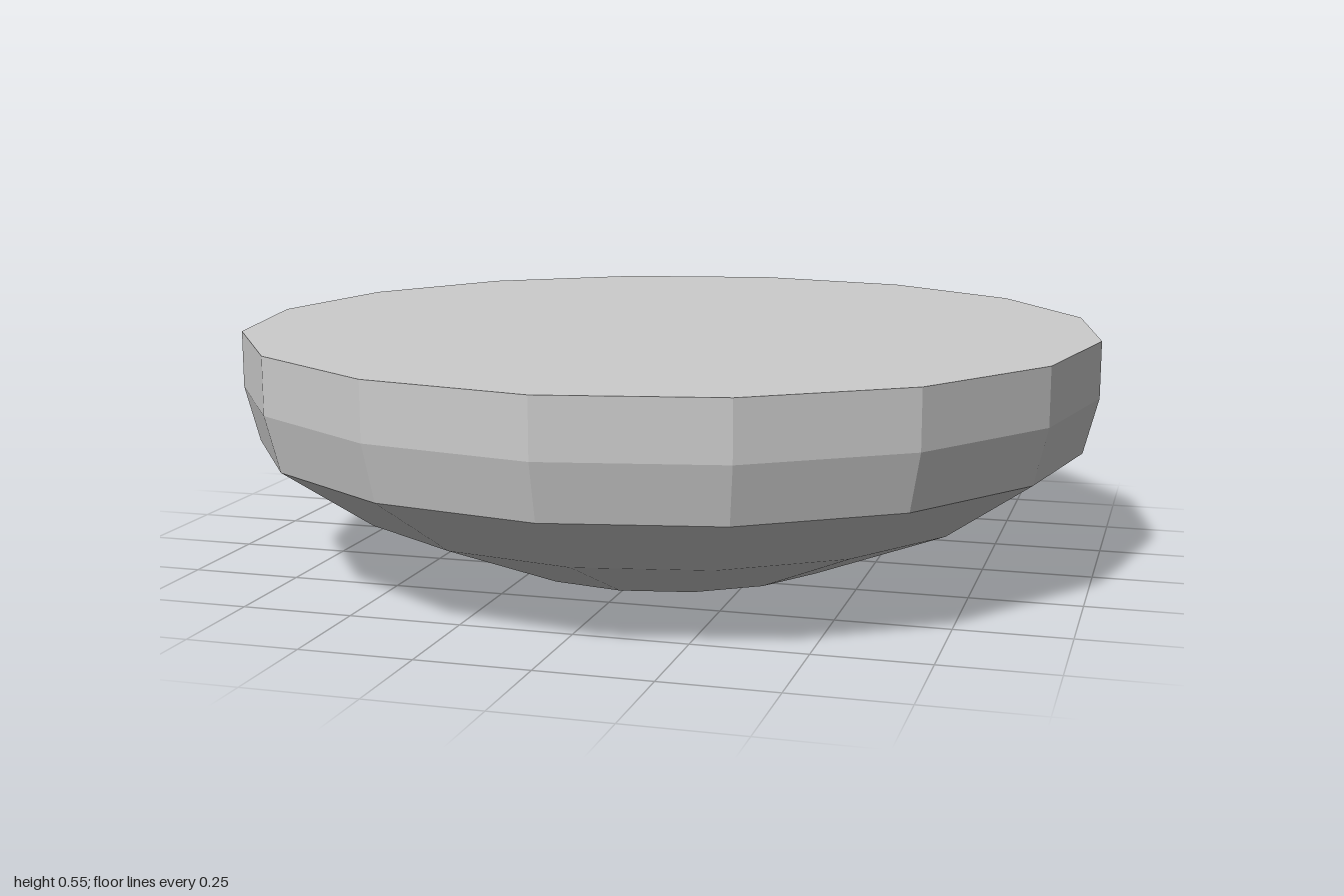
import * as THREE from 'three';

export function createModel() {
  const group = new THREE.Group();
  group.name = 'facetedDish';
  const material = new THREE.MeshStandardMaterial({ color: 0xcccccc, flatShading: true });

  // Profile from the bottom centre up to the rim: [radius, height]
  const profile = [
    [0, 0], [0.42, 0.005], [0.76, 0.145], [0.967, 0.287], [1, 0.415], [1, 0.545],
  ].map(([r, y]) => new THREE.Vector2(r, y));

  // Sixteen-sided bowl-shaped body
  const body = new THREE.Mesh(new THREE.LatheGeometry(profile, 16), material);
  body.name = 'body';
  group.add(body);

  // Flat lid closing the rim
  const top = new THREE.Mesh(new THREE.CircleGeometry(1, 16), material);
  top.name = 'topFace';
  top.rotation.x = -Math.PI / 2;
  top.position.y = 0.545;
  group.add(top);

  return group;
}
